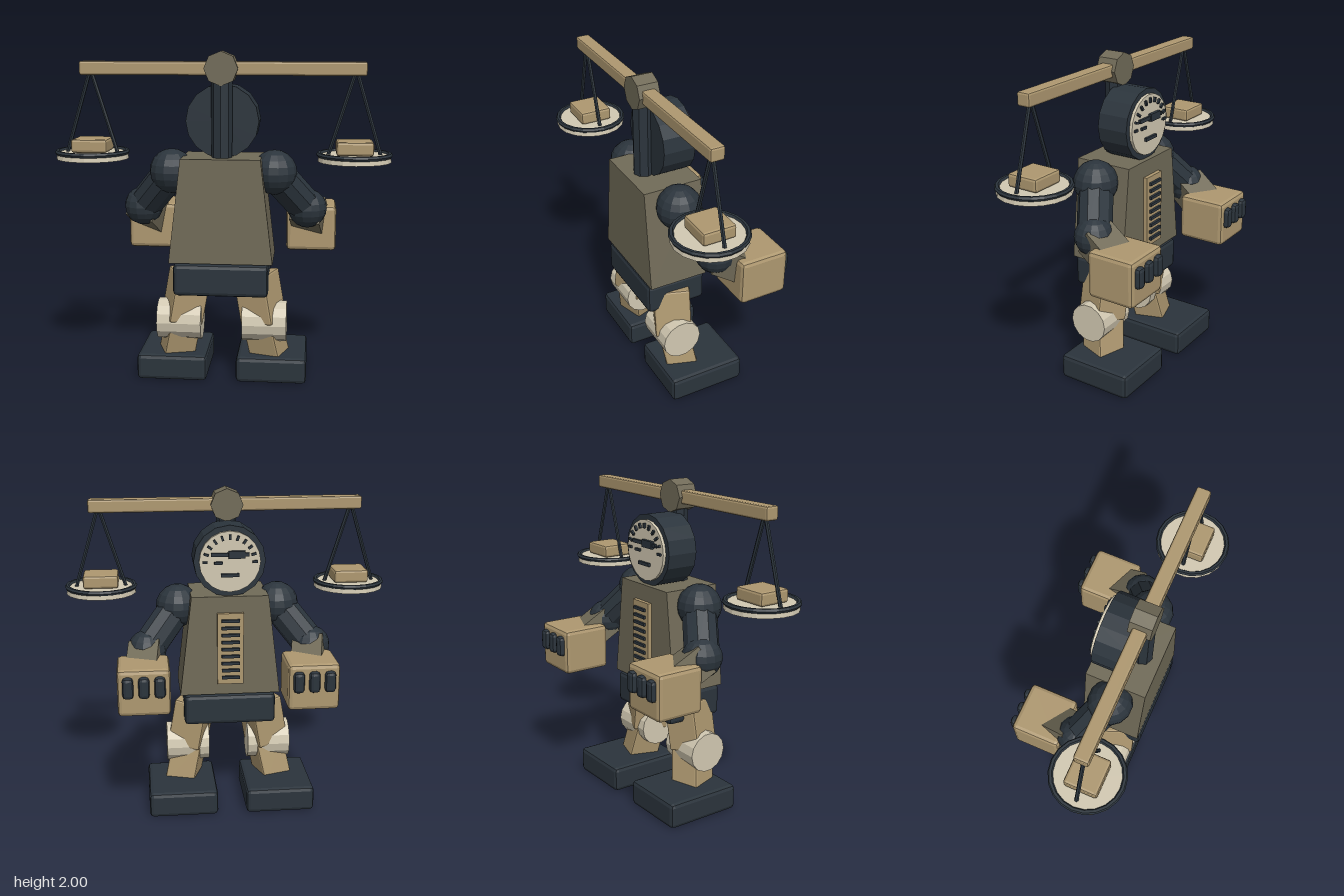
import * as THREE from 'three';
import { RoundedBoxGeometry } from 'three/addons/geometries/RoundedBoxGeometry.js';

const paint = (color) => new THREE.MeshStandardMaterial({ color, flatShading: true });

export function createModel() {
  const root = new THREE.Group();
  const dark = paint(0x2b343c), tan = paint(0xae9870), khaki = paint(0x716b58), cream = paint(0xd2c9b2);
  const V = (x, y, z) => new THREE.Vector3(x, y, z);

  function add(name, geo, mat, x = 0, y = 0, z = 0, parent = root) {
    const m = new THREE.Mesh(geo, mat);
    m.name = name;
    m.position.set(x, y, z);
    parent.add(m);
    return m;
  }
  const chamfer = (w, h, d, r = 0.02) => new RoundedBoxGeometry(w, h, d, 1, r);
  const box = (w, h, d) => new THREE.BoxGeometry(w, h, d);
  const ball = (r) => new THREE.SphereGeometry(r, 14, 10);
  const discZ = (r, depth, n) => new THREE.CylinderGeometry(r, r, depth, n).rotateX(Math.PI / 2);

  // Stands a y-aligned geometry between two points
  function span(name, a, b, makeGeo, mat) {
    const dir = b.clone().sub(a);
    const mid = a.clone().add(b).multiplyScalar(0.5);
    const m = add(name, makeGeo(dir.length()), mat, mid.x, mid.y, mid.z);
    m.quaternion.setFromUnitVectors(V(0, 1, 0), dir.normalize());
    return m;
  }
  const rod = (r, n) => (len) => new THREE.CylinderGeometry(r, r, len, n);

  // Tapered torso and hips
  const trapezoid = new THREE.Shape([
    new THREE.Vector2(-0.31, 0.755), new THREE.Vector2(0.31, 0.755),
    new THREE.Vector2(0.235, 1.38), new THREE.Vector2(-0.235, 1.38),
  ]);
  add('torso', new THREE.ExtrudeGeometry(trapezoid, { depth: 0.37, bevelEnabled: false }), khaki, 0, 0, -0.06);
  add('hips', chamfer(0.57, 0.195, 0.38, 0.025), dark, 0, 0.65, 0.125);

  // Vent panel with slats
  add('ventPanel', box(0.16, 0.45, 0.03), tan, 0, 1.055, -0.07);
  for (let i = 0; i < 9; i++) add('ventSlat', box(0.11, 0.018, 0.02), dark, 0, 0.875 + i * 0.045, -0.09);

  // Drum head with a dial face
  const headY = 1.59;
  add('head', discZ(0.218, 0.2, 16), dark, 0, headY, 0.07);
  add('dialFace', discZ(0.185, 0.025, 20), cream, 0, headY, -0.036);
  for (let i = 0; i < 11; i++) {
    const a = (i / 10) * Math.PI;
    const tick = add('dialTick', box(0.03, 0.014, 0.02), dark, 0.15 * Math.cos(a), headY + 0.15 * Math.sin(a), -0.052);
    tick.rotation.z = a;
  }
  add('dialNeedle', box(0.23, 0.022, 0.02), dark, 0, 1.635, -0.053);
  add('dialHub', box(0.1, 0.045, 0.025), dark, -0.04, 1.635, -0.057);
  add('dialMark', box(0.05, 0.016, 0.018), dark, 0.07, 1.585, -0.053);
  add('mouth', box(0.11, 0.02, 0.02), dark, 0, 1.51, -0.055);

  // Mast, pivot hub and balance beam
  add('mast', new THREE.CylinderGeometry(0.062, 0.062, 0.5, 8), dark, 0, 1.625, 0.195);
  add('pivotHub', discZ(0.1, 0.13, 8), khaki, 0, 1.9, 0.195);
  add('balanceBeam', chamfer(1.675, 0.08, 0.085, 0.012), tan, 0, 1.9, 0.195);

  for (const s of [-1, 1]) {
    // Hanging pan with its load
    const px = s * 0.777, pz = 0.195;
    for (const t of [-1, 1]) {
      span('panCable', V(px + t * 0.008, 1.87, pz), V(px + t * 0.152, 1.4, pz), rod(0.012, 6), dark);
    }
    add('pan', new THREE.CylinderGeometry(0.21, 0.215, 0.04, 18), cream, px, 1.385, pz);
    add('panRim', new THREE.TorusGeometry(0.207, 0.015, 6, 20).rotateX(Math.PI / 2), dark, px, 1.405, pz);
    add('panWeight', chamfer(0.215, 0.08, 0.2, 0.015), tan, px, 1.447, pz);

    // Arm: shoulder, upper arm, elbow, forearm
    const shoulder = V(s * 0.31, 1.285, 0.125), elbow = V(s * 0.508, 1.045, -0.005);
    const hx = s * 0.5 + 0.035;
    add('shoulder', ball(0.135), dark, ...shoulder.toArray());
    add('elbow', ball(0.12), dark, ...elbow.toArray());
    span('upperArm', shoulder, elbow, rod(0.105, 10), dark);
    span('forearm', elbow, V(hx, 0.92, -0.2), (len) => box(0.19, len, 0.18), khaki);

    // Fist with three knuckles
    add('fist', chamfer(0.31, 0.285, 0.305, 0.025), tan, hx, 0.898, -0.237);
    for (let i = -1; i <= 1; i++) add('knuckle', chamfer(0.065, 0.13, 0.065, 0.022), dark, hx + i * 0.093, 0.937, -0.39);

    // Leg: thigh, knee drum, shin, foot
    span('thigh', V(s * 0.203, 0.66, 0.13), V(s * 0.255, 0.36, 0.14), (len) => chamfer(0.21, len, 0.225, 0.012), tan);
    add('knee', new THREE.CylinderGeometry(0.125, 0.125, 0.27, 14).rotateZ(Math.PI / 2), cream, s * 0.26, 0.365, 0.145);
    span('shin', V(s * 0.245, 0.36, 0.14), V(s * 0.3, 0.1, 0.1), (len) => chamfer(0.19, len, 0.19, 0.012), tan);
    add('foot', chamfer(0.43, 0.16, 0.49, 0.025), dark, s * 0.305, 0.08, 0.025);
  }
  return root;
}
